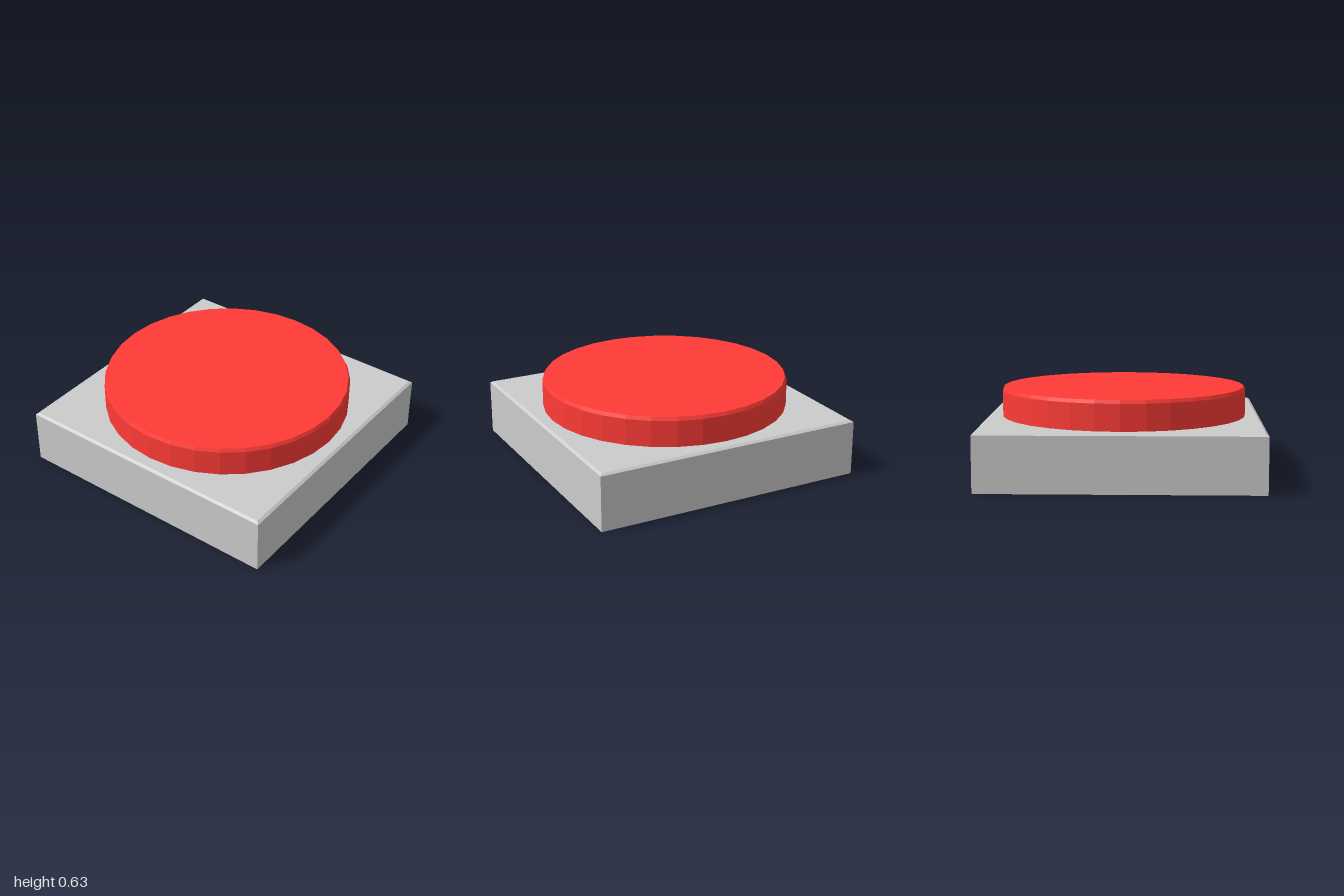
import * as THREE from 'three';

// Solid turned from a [radius, height] profile, with flat facets
function facetedSolid(name, profile, sides, startAngle, color) {
  const points = profile.map(([r, y]) => new THREE.Vector2(r, y));
  const geometry = new THREE.LatheGeometry(points, sides, startAngle).toNonIndexed();
  geometry.computeVertexNormals();
  const mesh = new THREE.Mesh(geometry, new THREE.MeshStandardMaterial({ color, flatShading: true }));
  mesh.name = name;
  return mesh;
}

export function createModel() {
  const model = new THREE.Group();
  model.name = 'pushButton';

  // Square base with a small chamfer round its top edge
  const corner = Math.SQRT2; // half width to corner radius
  model.add(facetedSolid('base', [
    [0, 0], [corner, 0], [corner, 0.4], [0.98 * corner, 0.413], [0, 0.413],
  ], 4, Math.PI / 4, 0xcccccc));

  // Round red cap with a narrow chamfered rim
  model.add(facetedSolid('buttonCap', [
    [0, 0.4], [0.9, 0.4], [0.9, 0.603], [0.887, 0.628], [0, 0.628],
  ], 32, 0, 0xff3b36));

  return model;
}
